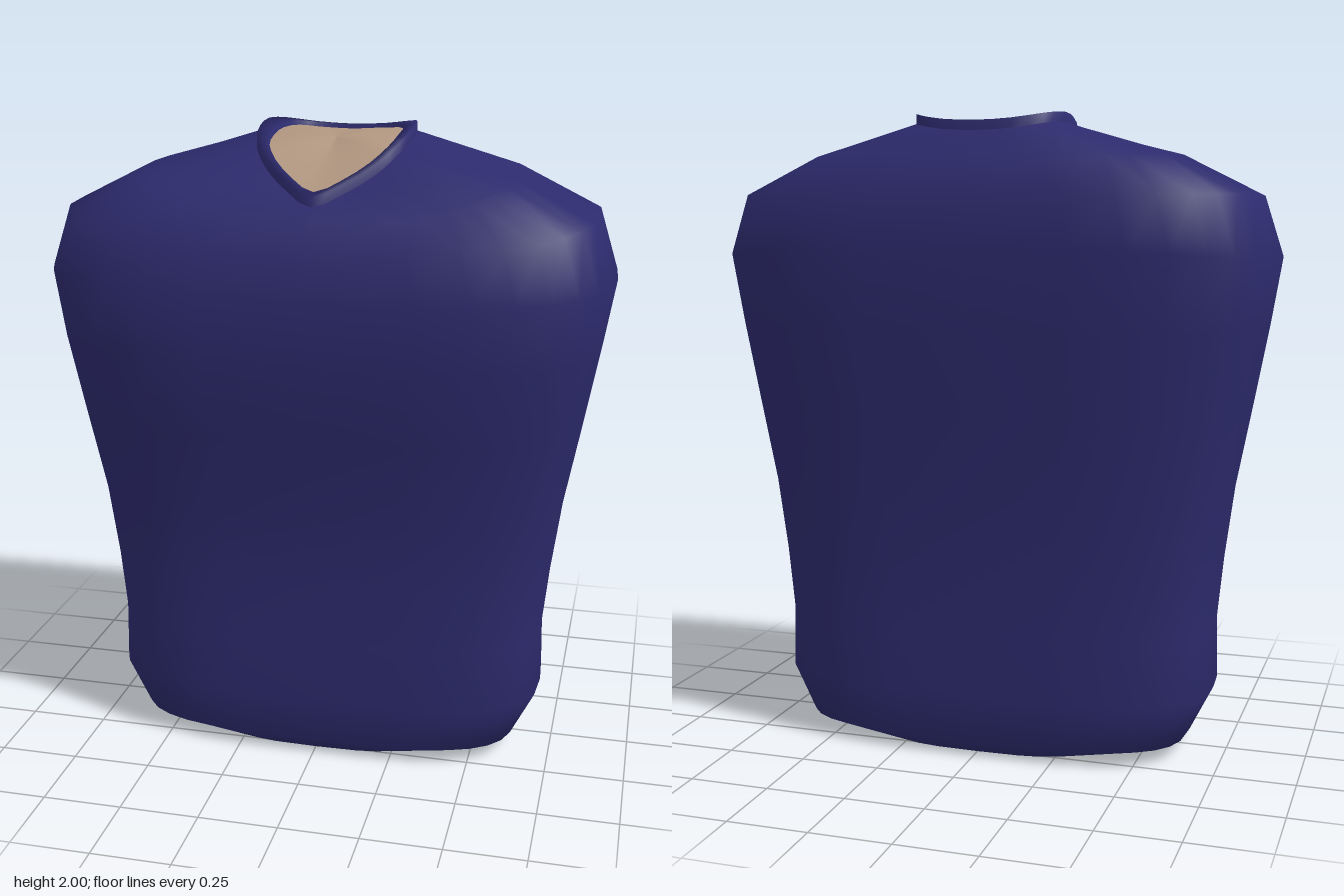
import * as THREE from 'three';

const SEG = 32;

// Smooth skin over closed rings, listed from the bottom outwards and up
function loft(name, rings, color) {
  const pos = [], index = [];
  for (const ring of rings) for (const p of ring) pos.push(p.x, p.y, p.z);
  for (let r = 0; r < rings.length - 1; r++) {
    for (let i = 0; i < SEG; i++) {
      const j = (i + 1) % SEG;
      const a = r * SEG + i, b = r * SEG + j, c = a + SEG, d = b + SEG;
      index.push(a, b, d, a, d, c);
    }
  }
  const geo = new THREE.BufferGeometry();
  geo.setAttribute('position', new THREE.Float32BufferAttribute(pos, 3));
  geo.setIndex(index);
  geo.computeVertexNormals();
  const mesh = new THREE.Mesh(geo, new THREE.MeshStandardMaterial({ color }));
  mesh.name = name;
  return mesh;
}

// Rounded-rectangle ring; its height may differ at the front, side and back
function bodyRing(w, zf, zb, yf, ys = yf, yb = yf) {
  const e = 2 / 3.3;
  return Array.from({ length: SEG }, (_, i) => {
    const t = (i / SEG) * Math.PI * 2, s = Math.sin(t), c = Math.cos(t);
    const x = w * Math.sign(s) * Math.abs(s) ** e;
    const z = (c > 0 ? zf : -zb) * Math.sign(c) * Math.abs(c) ** e;
    return new THREE.Vector3(x, ys + ((c > 0 ? yf : yb) - ys) * c * c, z);
  });
}

// Neckline ring mirrored from half an outline, starting at the front point
function neckRing(half, dy) {
  const right = half.map(p => new THREE.Vector3(p[0], p[1] + dy, p[2]));
  const left = right.slice(1, -1).reverse().map(p => new THREE.Vector3(-p.x, p.y, p.z));
  const curve = new THREE.CatmullRomCurve3([...right, ...left], true);
  return Array.from({ length: SEG }, (_, i) => curve.getPoint(i / SEG));
}

const pointRing = (y, z) => Array.from({ length: SEG }, () => new THREE.Vector3(0, y, z));

export function createModel() {
  const group = new THREE.Group();
  group.name = 'torso';
  const navy = 0x2c2a6c, skin = 0xb09680;

  // Outer and inner edge of the neckline, front to back
  const outer = [[0, 1.82, 0.295], [0.08, 1.85, 0.24], [0.17, 1.905, 0.155], [0.22, 1.955, 0.08],
    [0.24, 1.985, -0.03], [0.237, 1.998, -0.13], [0.2, 1.99, -0.22], [0.11, 1.975, -0.266], [0, 1.97, -0.27]];
  const inner = [[0, 1.83, 0.262], [0.075, 1.86, 0.215], [0.145, 1.905, 0.145], [0.185, 1.945, 0.07],
    [0.197, 1.97, -0.04], [0.193, 1.98, -0.14], [0.162, 1.98, -0.22], [0.1, 1.972, -0.25], [0, 1.968, -0.255]];

  // Shirt body: flat base, narrow waist, broad chest and shoulders
  group.add(loft('shirtBody', [
    pointRing(0, 0),
    bodyRing(0.36, 0.26, -0.27, 0),
    bodyRing(0.63, 0.305, -0.32, 0.05),
    bodyRing(0.705, 0.32, -0.33, 0.2),
    bodyRing(0.7, 0.32, -0.33, 0.4),
    bodyRing(0.72, 0.32, -0.335, 0.6),
    bodyRing(0.75, 0.335, -0.35, 0.83),
    bodyRing(0.8, 0.385, -0.378, 1.1),
    bodyRing(0.845, 0.43, -0.405, 1.35),
    bodyRing(0.88, 0.425, -0.425, 1.54, 1.56, 1.59),
    bodyRing(0.82, 0.39, -0.412, 1.67, 1.75, 1.75),
    bodyRing(0.58, 0.335, -0.35, 1.76, 1.87, 1.86),
    neckRing(outer, -0.03),
  ], navy));

  // Raised collar band
  group.add(loft('collar', [
    neckRing(outer, -0.06), neckRing(outer, 0), neckRing(inner, 0), neckRing(inner, -0.04),
  ], navy));

  // Skin filling the neck opening, gently domed
  const rim = neckRing(inner, -0.012);
  const top = new THREE.Vector3(0, 1.955, -0.04);
  const mid = rim.map(p => {
    const q = p.clone().lerp(top, 0.5);
    q.y += 0.012;
    return q;
  });
  group.add(loft('neckSkin', [rim, mid, pointRing(top.y, top.z)], skin));

  return group;
}
